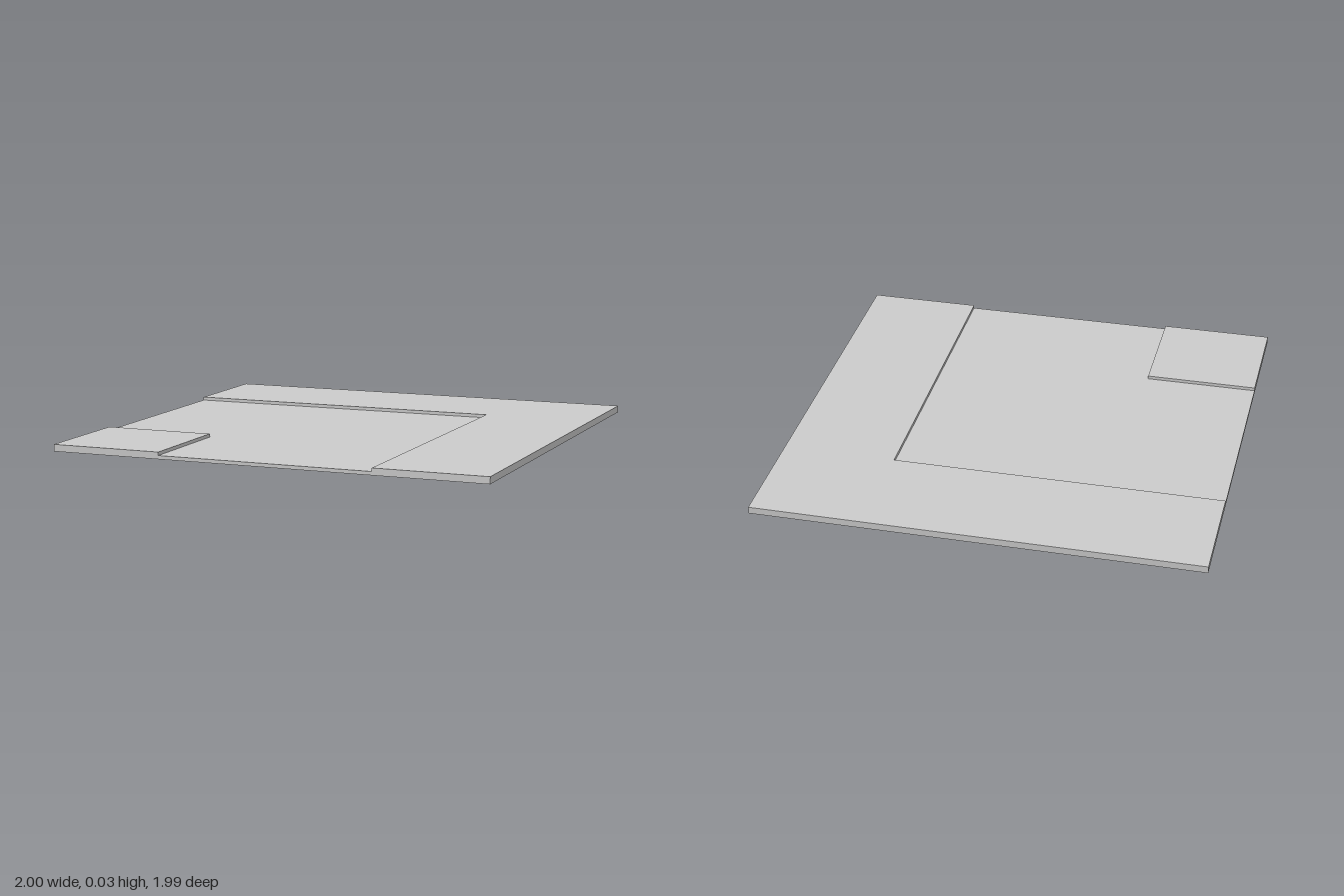
import * as THREE from 'three';

const X = 1, Z = 0.993;   // half extents of the tile
const K = 0.49;           // distance of both kerbs from the centre
const ROAD_H = 0.016, WALK_H = 0.031;

// Upright slab from a plan outline given as [x, z] corners
function slab(name, outline, height, material) {
  const shape = new THREE.Shape(outline.map(([x, z]) => new THREE.Vector2(x, -z)));
  const geometry = new THREE.ExtrudeGeometry(shape, { depth: height, bevelEnabled: false });
  geometry.rotateX(-Math.PI / 2);
  const mesh = new THREE.Mesh(geometry, material);
  mesh.name = name;
  return mesh;
}

export function createModel() {
  const group = new THREE.Group();
  group.name = 'roadCornerTile';
  const material = new THREE.MeshStandardMaterial({ color: 0xcccccc, flatShading: true });

  // L-shaped pavement around the outside of the bend
  group.add(slab('outerPavement', [
    [-X, -K], [K, -K], [K, Z], [X, Z], [X, -Z], [-X, -Z],
  ], WALK_H, material));

  // Square pavement on the inside of the bend
  group.add(slab('innerPavement', [
    [-X, Z], [-K, Z], [-K, K], [-X, K],
  ], WALK_H, material));

  // Sunken roadway turning between the two kerbs
  group.add(slab('roadway', [
    [-X, K], [-K, K], [-K, Z], [K, Z], [K, -K], [-X, -K],
  ], ROAD_H, material));

  return group;
}
